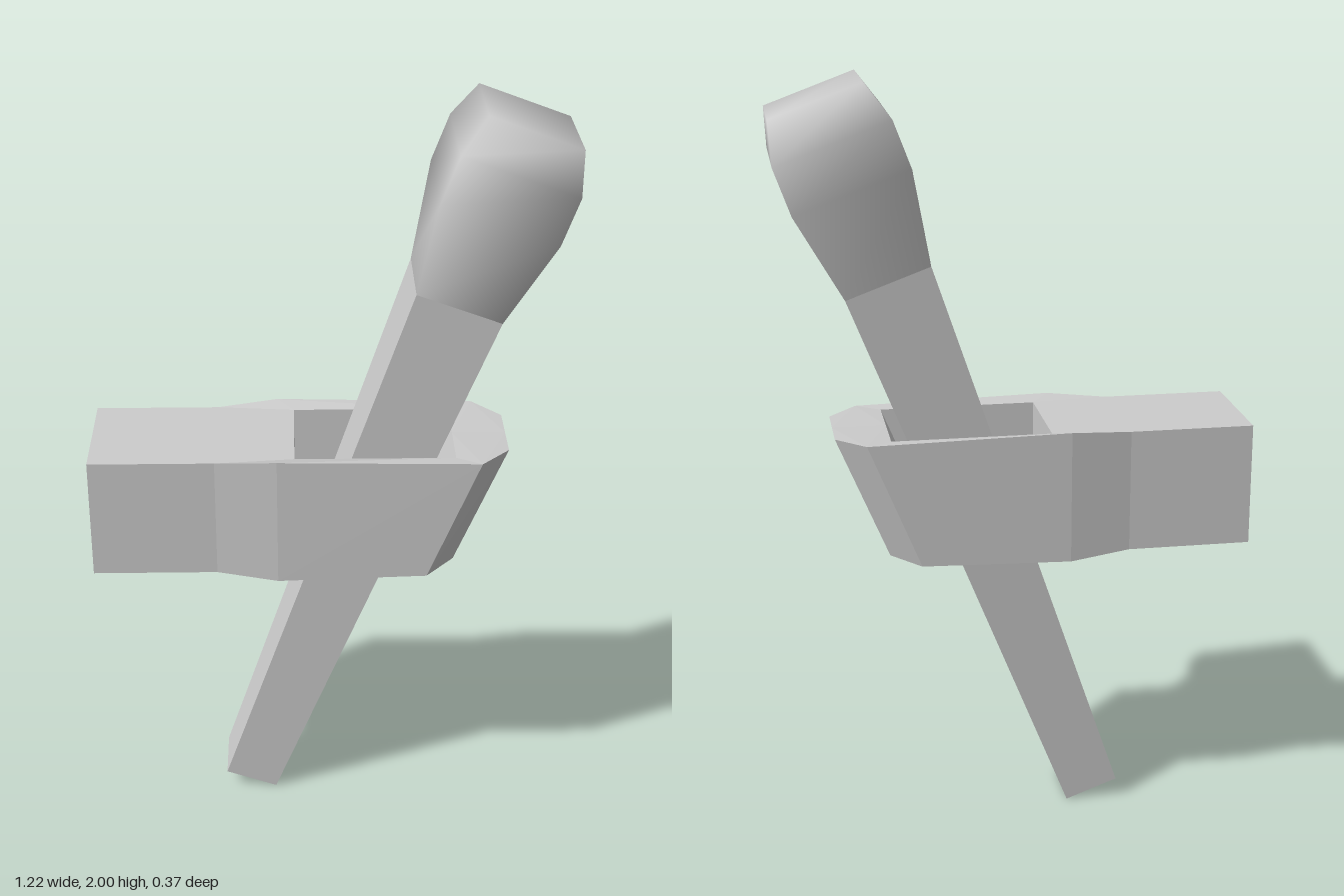
import * as THREE from 'three';

// Geometry lofted through rectangular rings [height, half width x, half depth z]
function loftRings(rings, capBottom) {
  const pos = [], idx = [];
  for (const [y, w, d] of rings) pos.push(-w, y, d, w, y, d, w, y, -d, -w, y, -d);
  for (let r = 0; r < rings.length - 1; r++) {
    for (let k = 0; k < 4; k++) {
      const a = r * 4 + k, b = r * 4 + (k + 1) % 4;
      idx.push(a, b, b + 4, a, b + 4, a + 4);
    }
  }
  const t = (rings.length - 1) * 4;
  idx.push(t, t + 1, t + 2, t, t + 2, t + 3);
  if (capBottom) idx.push(0, 2, 1, 0, 3, 2);
  const geo = new THREE.BufferGeometry();
  geo.setAttribute('position', new THREE.Float32BufferAttribute(pos, 3));
  geo.setIndex(idx);
  geo.computeVertexNormals();
  return geo;
}

// Slotted collar: one half in plan, mirrored across z = 0
function collarGeometry() {
  // corner: [top x, bottom x, z, bottom y, top y]
  const c = {
    A0: [-0.615, -0.615, 0, 0.775, 1.1],
    A: [-0.615, -0.615, 0.16, 0.775, 1.1],
    B: [-0.29, -0.29, 0.16, 0.775, 1.1],
    C: [-0.13, -0.13, 0.183, 0.76, 1.112],
    D: [0.395, 0.26, 0.18, 0.77, 1.102],
    E: [0.47, 0.335, 0.1, 0.775, 1.1],
    E0: [0.47, 0.335, 0, 0.775, 1.1],
    F: [-0.085, -0.085, 0.14, 0.775, 1.1],
    F0: [-0.085, -0.085, 0, 0.775, 1.1],
    G: [0.33, 0.195, 0.14, 0.775, 1.1],
    G0: [0.33, 0.195, 0, 0.775, 1.1],
  };
  const caps = [['A0', 'A', 'B', 'F', 'F0'], ['B', 'C', 'F'], ['C', 'D', 'G', 'F'], ['D', 'E', 'E0', 'G0', 'G']];
  const walls = [['A0', 'A', 'B', 'C', 'D', 'E', 'E0'], ['G0', 'G', 'F', 'F0']];
  const pos = [];
  for (const side of [1, -1]) {
    const top = (n) => [c[n][0], c[n][4], c[n][2] * side];
    const bottom = (n) => [c[n][1], c[n][3], c[n][2] * side];
    const face = (pts) => {
      const p = side > 0 ? pts : [...pts].reverse();
      for (let i = 1; i < p.length - 1; i++) pos.push(...p[0], ...p[i], ...p[i + 1]);
    };
    for (const cap of caps) {
      // fan explicitly so both mirrored halves split alike
      for (let i = 1; i < cap.length - 1; i++) {
        const tri = [cap[0], cap[i], cap[i + 1]];
        face(tri.map(top));
        face(tri.map(bottom).reverse());
      }
    }
    for (const w of walls) {
      for (let i = 0; i < w.length - 1; i++) {
        face([bottom(w[i]), bottom(w[i + 1]), top(w[i + 1]), top(w[i])]);
      }
    }
  }
  const geo = new THREE.BufferGeometry();
  geo.setAttribute('position', new THREE.Float32BufferAttribute(pos, 3));
  geo.computeVertexNormals();
  return geo;
}

export function createModel() {
  const model = new THREE.Group();
  const flat = new THREE.MeshStandardMaterial({ color: 0xcccccc, flatShading: true });
  const smooth = new THREE.MeshStandardMaterial({ color: 0xcccccc });
  const add = (parent, name, geo, mat) => {
    const mesh = new THREE.Mesh(geo, mat);
    mesh.name = name;
    parent.add(mesh);
  };

  // Slotted arm that the lever passes through
  add(model, 'slottedArm', collarGeometry(), flat);

  // Leaning lever: tapered square shaft with a rounded knob
  const lever = new THREE.Group();
  lever.name = 'lever';
  lever.position.set(-0.215, 0.03, 0);
  lever.rotation.z = -Math.atan2(0.542, 1.475);
  add(lever, 'shaft', loftRings([[0, 0.074, 0.08], [1.571, 0.115, 0.12]], true).toNonIndexed(), flat);
  add(lever, 'knob', loftRings([
    [1.571, 0.115, 0.12], [1.822, 0.156, 0.163], [1.95, 0.155, 0.163], [2.054, 0.123, 0.13],
  ], false), smooth);
  model.add(lever);
  return model;
}
